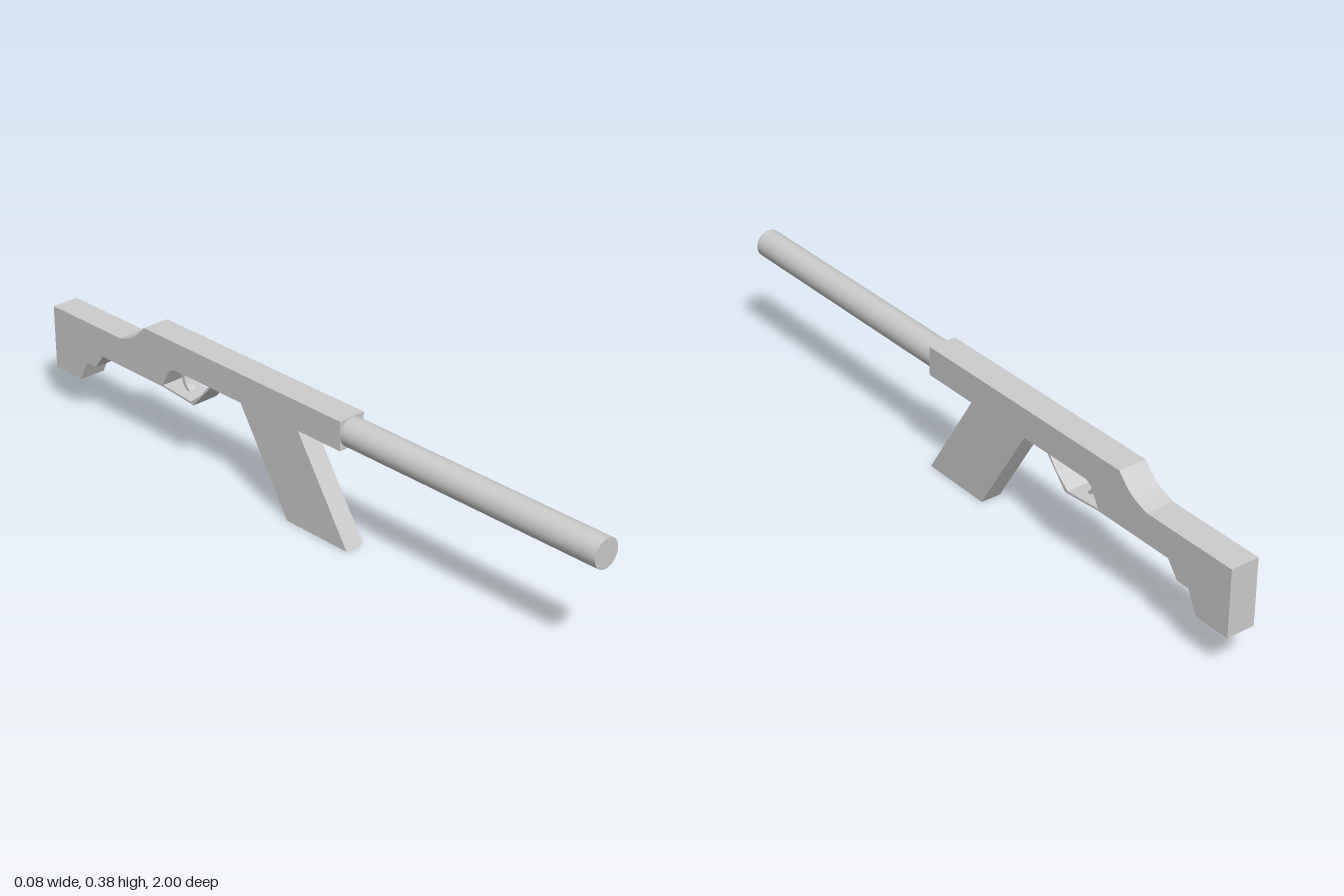
import * as THREE from 'three';

const material = new THREE.MeshStandardMaterial({ color: 0xcccccc, side: THREE.DoubleSide });

// Side outline given as (z, y), extruded to a width centred on x = 0
function sidePart(name, shape, width) {
  const geometry = new THREE.ExtrudeGeometry(shape, { depth: width, bevelEnabled: false, curveSegments: 10 });
  geometry.translate(0, 0, -width / 2).rotateY(-Math.PI / 2);
  const mesh = new THREE.Mesh(geometry, material);
  mesh.name = name;
  return mesh;
}

const outline = (points) => new THREE.Shape(points.map(([z, y]) => new THREE.Vector2(z, y)));

export function createModel() {
  const group = new THREE.Group();
  group.name = 'longGun';

  // Receiver and stock in one silhouette, with a curved step behind the receiver
  const body = new THREE.Shape();
  body.moveTo(0.165, 0.292);
  body.lineTo(0.165, 0.376);
  body.lineTo(-0.6, 0.376);
  body.lineTo(-0.632, 0.343);
  body.quadraticCurveTo(-0.655, 0.323, -0.705, 0.309);
  [
    [-1, 0.309], [-1, 0.117], [-0.89, 0.117], [-0.86, 0.18], [-0.82, 0.18],
    [-0.785, 0.225], [-0.53, 0.225], [-0.5, 0.28], [-0.48, 0.292],
  ].forEach(([z, y]) => body.lineTo(z, y));
  body.closePath();
  group.add(sidePart('receiverAndStock', body, 0.083));

  // Round barrel
  const barrel = new THREE.Mesh(new THREE.CylinderGeometry(0.041, 0.041, 0.845, 48), material);
  barrel.name = 'barrel';
  barrel.rotation.x = Math.PI / 2;
  barrel.position.set(0, 0.334, 0.5775);
  group.add(barrel);

  // Slanted magazine
  group.add(sidePart('magazine', outline([[-0.01, 0.295], [-0.23, 0.295], [-0.045, 0], [0.18, 0]]), 0.06));

  // Thin, full-width trigger guard
  group.add(sidePart('triggerGuard', outline([
    [-0.328, 0.292], [-0.4, 0.214], [-0.53, 0.225], [-0.525, 0.23], [-0.41, 0.222], [-0.365, 0.258], [-0.338, 0.292],
  ]), 0.083));

  // Hooked trigger
  const trigger = new THREE.Shape();
  trigger.moveTo(-0.474, 0.293);
  trigger.quadraticCurveTo(-0.474, 0.245, -0.45, 0.23);
  trigger.lineTo(-0.458, 0.225);
  trigger.quadraticCurveTo(-0.486, 0.24, -0.487, 0.293);
  trigger.closePath();
  group.add(sidePart('trigger', trigger, 0.022));

  return group;
}
